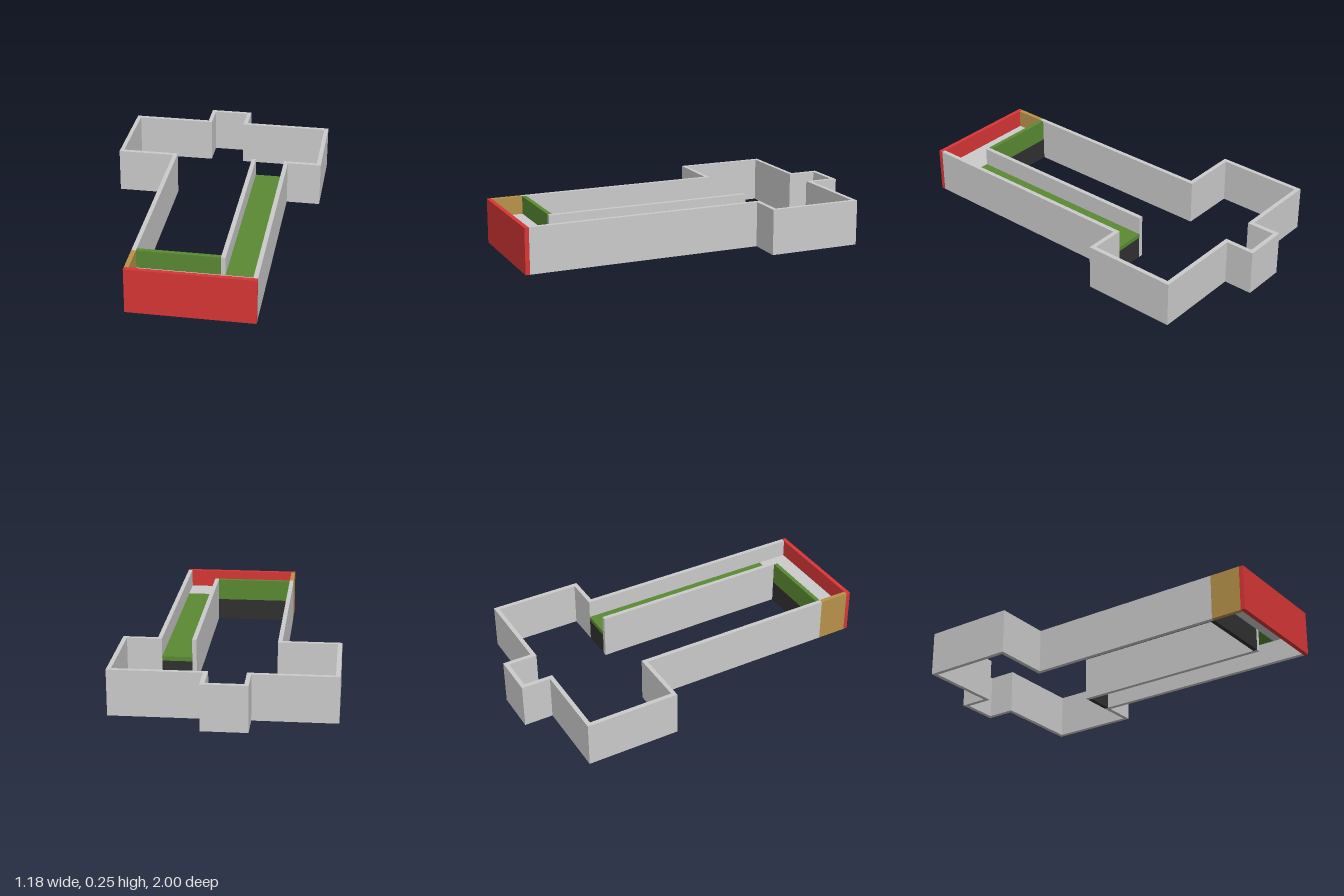
import * as THREE from 'three';

const H = 0.25;    // wall height
const MID = 0.125; // underside of the raised floors
const T = 0.024;   // wall and slab thickness

const mat = (color) => new THREE.MeshStandardMaterial({ color });
const GREY = mat(0xcccccc), GREEN = mat(0x5a8a32), RED = mat(0xd83636);
const TAN = mat(0xb8924a), DARK = mat(0x303030);

export function createModel() {
  const group = new THREE.Group();
  const add = (name, geometry, material) => {
    const mesh = new THREE.Mesh(geometry, material);
    mesh.name = name;
    group.add(mesh);
  };
  // Box given by its limits on each axis
  const block = (name, material, [x0, x1], [y0, y1], [z0, z1]) => {
    const g = new THREE.BoxGeometry(x1 - x0, y1 - y0, z1 - z0);
    g.translate((x0 + x1) / 2, (y0 + y1) / 2, (z0 + z1) / 2);
    add(name, g, material);
  };

  // Plan limits
  const left = -0.272, right = 0.402, wing = 0.592;
  const wingFront = -0.323, wingBack = -0.84;
  const nicheL = -0.147, nicheR = 0.097;
  const porchBack = 0.805, porchFront = 1 - T;
  const aisleL = 0.19, aisleR = right - T;

  // Continuous outer wall: along the outside, then back along the inside
  const plan = [
    [left, porchBack], [left, wingFront], [-wing, wingFront], [-wing, wingBack],
    [nicheL, wingBack], [nicheL, -1], [nicheR, -1], [nicheR, wingBack],
    [wing, wingBack], [wing, wingFront], [right, wingFront], [right, porchFront],
    [right - T, porchFront], [right - T, wingFront - T], [wing - T, wingFront - T],
    [wing - T, wingBack + T], [nicheR - T, wingBack + T], [nicheR - T, -1 + T],
    [nicheL + T, -1 + T], [nicheL + T, wingBack + T], [-wing + T, wingBack + T],
    [-wing + T, wingFront - T], [left + T, wingFront - T], [left + T, porchBack],
  ];
  const walls = new THREE.ExtrudeGeometry(
    new THREE.Shape(plan.map(([x, z]) => new THREE.Vector2(x, z))),
    { depth: H, bevelEnabled: false });
  walls.rotateX(Math.PI / 2).translate(0, H, 0);
  add('outerWalls', walls, GREY);

  // Front end
  block('frontWall', RED, [left, right], [0, H], [porchFront, 1]);
  block('porchSideWall', TAN, [left, left + T], [0, H], [porchBack, porchFront]);
  block('porchFloor', GREY, [left + T, aisleR], [MID, MID + T], [porchBack, porchFront]);

  // Partition between porch and hall, dark below and green above
  block('partitionBase', DARK, [left + T, aisleL], [0, MID], [porchBack - T, porchBack]);
  block('partitionTop', GREEN, [left + T, aisleL], [MID, H], [porchBack - T, porchBack]);

  // Side aisle with raised floor and closed step
  const aisleEnd = wingFront - T;
  block('aisleWall', GREY, [aisleL, aisleL + T], [0, H], [aisleEnd, porchBack]);
  block('aisleFloor', GREEN, [aisleL + T, aisleR], [MID, MID + T], [aisleEnd, porchBack]);
  block('aisleStep', DARK, [aisleL + T, aisleR], [0, MID], [aisleEnd, aisleEnd + T]);

  return group;
}
